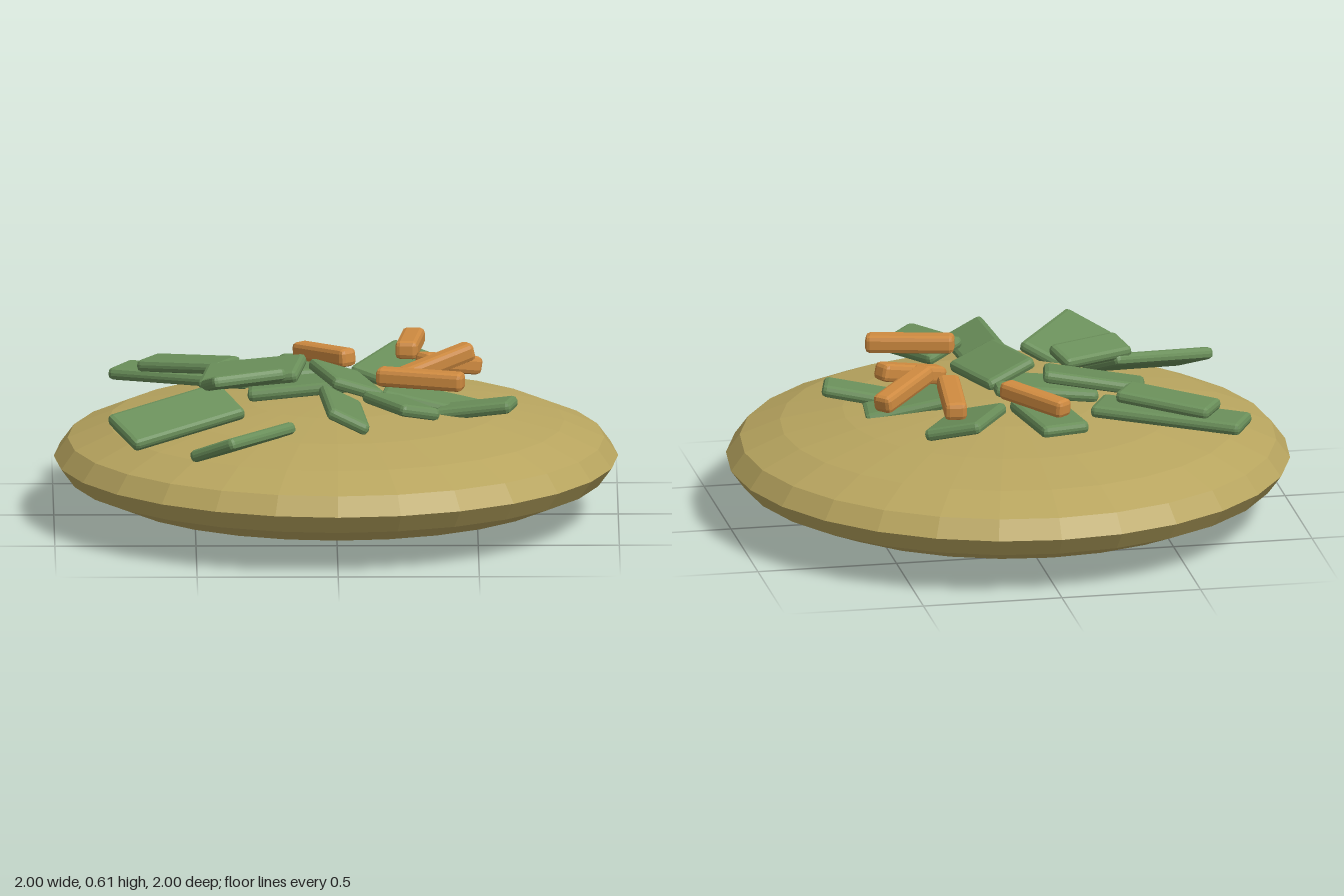
import * as THREE from 'three';
import { RoundedBoxGeometry } from 'three/addons/geometries/RoundedBoxGeometry.js';

const flat = (name, color) => {
  const m = new THREE.MeshStandardMaterial({ color, flatShading: true });
  m.name = name;
  return m;
};

// Bevelled slab running between two end points; rise lifts its right-hand edge
function slab(name, material, [ax, ay, az, bx, by, bz, width, rise = 0], thick) {
  const a = new THREE.Vector3(ax, ay, az), b = new THREE.Vector3(bx, by, bz);
  const along = b.clone().sub(a);
  const length = along.length();
  along.normalize();
  const side = new THREE.Vector3(-along.z, 0, along.x).normalize();
  side.y = rise / width;
  const up = side.clone().cross(along).normalize();
  side.crossVectors(along, up);
  const mesh = new THREE.Mesh(new RoundedBoxGeometry(length, thick, width, 1, 0.017), material);
  mesh.quaternion.setFromRotationMatrix(new THREE.Matrix4().makeBasis(along, up, side));
  mesh.position.copy(a).add(b).multiplyScalar(0.5);
  mesh.name = name;
  return mesh;
}

export function createModel() {
  const model = new THREE.Group();
  model.name = 'toppedMound';
  const tan = flat('tan', 0xb8a55f);
  const green = flat('leafGreen', 0x6a8f5a);
  const orange = flat('carrotOrange', 0xce8a40);

  // Flattened faceted base
  const mound = new THREE.Mesh(new THREE.SphereGeometry(1, 28, 10), tan);
  mound.scale.y = 0.215;
  mound.position.y = 0.22;
  mound.name = 'mound';
  model.add(mound);

  // Leaf pieces: end point, end point, width, edge rise
  const leaves = [
    [-0.77, 0.43, -0.455, -0.28, 0.45, -0.2, 0.17],
    [-0.67, 0.47, -0.39, -0.37, 0.5, -0.21, 0.15],
    [-0.765, 0.4, 0.44, -0.37, 0.47, 0.215, 0.2, -0.08],
    [-0.46, 0.53, 0.23, -0.2, 0.535, 0.105, 0.125, 0.04],
    [-0.45, 0.42, 0.81, -0.22, 0.41, 0.48, 0.2, 0.08],
    [-0.47, 0.48, -0.11, -0.12, 0.53, -0.035, 0.2, -0.03],
    [-0.31, 0.45, -0.02, 0.06, 0.49, -0.005, 0.2],
    [-0.01, 0.525, -0.03, 0.08, 0.515, 0.26, 0.2, 0.07],
    [0.01, 0.48, 0.22, 0.04, 0.485, 0.64, 0.16, 0.08],
    [0.155, 0.505, 0.34, 0.3, 0.5, 0.565, 0.17, 0.04],
    [0.36, 0.405, 0.13, 0.63, 0.45, 0.2, 0.13],
    [0.17, 0.46, 0.015, 0.51, 0.39, 0.055, 0.21],
    [-0.115, 0.46, -0.5, -0.05, 0.47, -0.185, 0.18],
    [0.3, 0.48, -0.5, 0.14, 0.45, -0.19, 0.21, 0.05],
  ];
  const leafGroup = new THREE.Group();
  leafGroup.name = 'leaves';
  for (const leaf of leaves) leafGroup.add(slab('leafPiece', green, leaf, 0.044));

  // Thicker, narrower sticks on top
  const sticks = [
    [-0.13, 0.51, -0.41, 0.05, 0.53, -0.19, 0.07],
    [0.28, 0.545, -0.48, 0.25, 0.56, -0.17, 0.08],
    [0.145, 0.565, 0.25, 0.45, 0.56, 0.33, 0.075],
    [0.3, 0.555, -0.03, 0.5, 0.5, -0.21, 0.075],
    [0.23, 0.515, 0.055, 0.48, 0.585, -0.08, 0.07],
  ];
  const stickGroup = new THREE.Group();
  stickGroup.name = 'sticks';
  for (const stick of sticks) stickGroup.add(slab('stickPiece', orange, stick, 0.065));

  model.add(leafGroup, stickGroup);
  return model;
}
